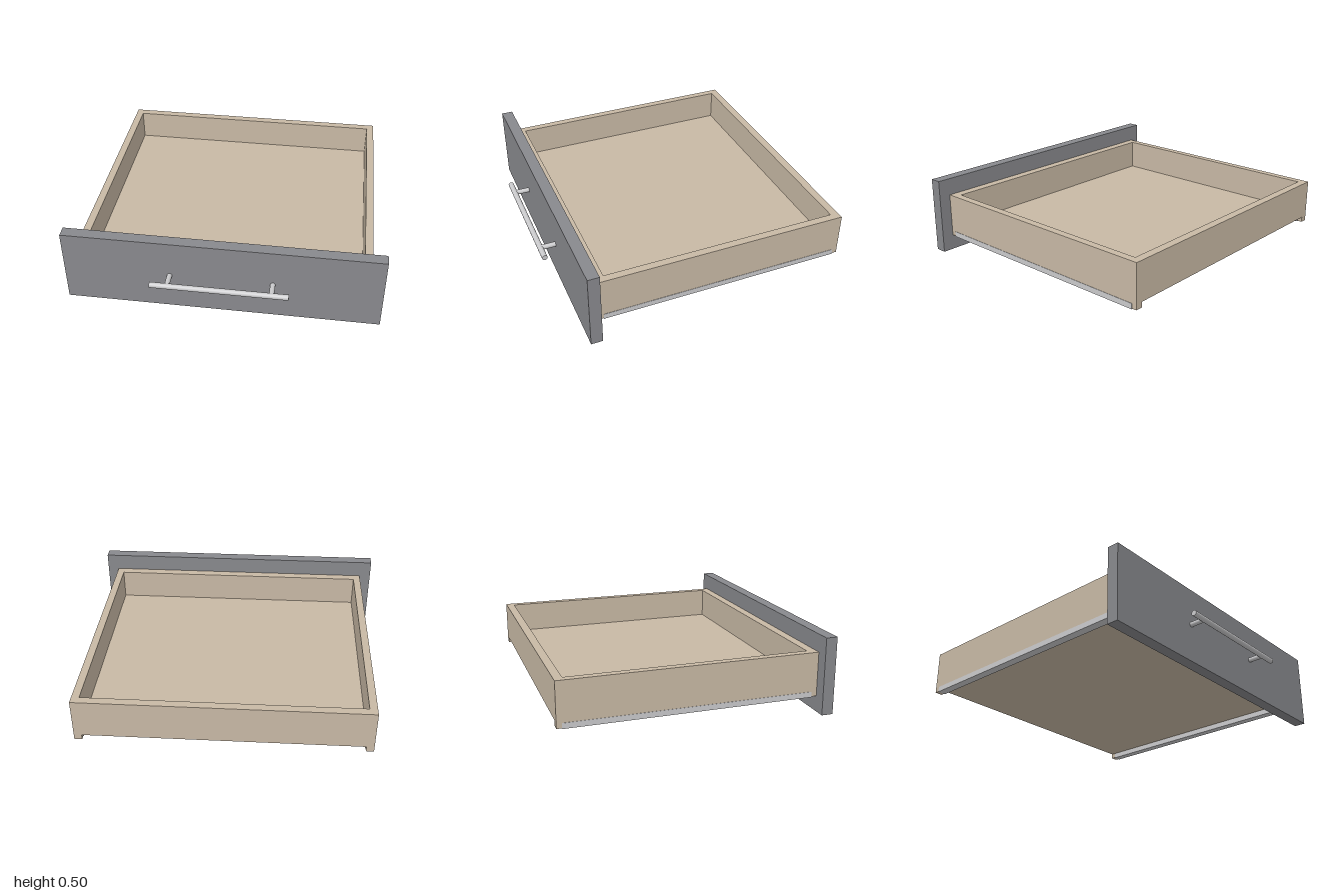
import * as THREE from 'three';

const wood = new THREE.MeshStandardMaterial({ color: 0xc8b9a5 });
wood.name = 'pale wood';
const grey = new THREE.MeshStandardMaterial({ color: 0x88898d });
grey.name = 'grey front';
const metal = new THREE.MeshStandardMaterial({ color: 0xcbcbcd });
metal.name = 'brushed metal';

// Box given by its lower and upper limits on each axis
function box(name, material, [x0, x1], [y0, y1], [z0, z1]) {
  const mesh = new THREE.Mesh(new THREE.BoxGeometry(x1 - x0, y1 - y0, z1 - z0), material);
  mesh.position.set((x0 + x1) / 2, (y0 + y1) / 2, (z0 + z1) / 2);
  mesh.name = name;
  return mesh;
}

// Round rod along x or z
function rod(name, radius, length, axis, x, y, z) {
  const geometry = new THREE.CylinderGeometry(radius, radius, length, 24);
  if (axis === 'x') geometry.rotateZ(Math.PI / 2);
  else geometry.rotateX(Math.PI / 2);
  const mesh = new THREE.Mesh(geometry, metal);
  mesh.position.set(x, y, z);
  mesh.name = name;
  return mesh;
}

export function createModel() {
  const model = new THREE.Group();
  model.name = 'drawer';

  const outer = 0.922, inner = 0.873; // half widths of the tray
  const back = -0.923, front = 0.728;
  const top = 0.39, sideBottom = 0.102, floorBottom = 0.137;

  // Tray: the end walls and floor sit higher than the side walls
  const tray = new THREE.Group();
  tray.name = 'tray';
  tray.add(
    box('backWall', wood, [-inner, inner], [floorBottom, top], [back, back + 0.053]),
    box('innerFrontWall', wood, [-inner, inner], [floorBottom, top], [front - 0.058, front]),
    box('floor', wood, [-inner, inner], [floorBottom, 0.187], [back + 0.053, front - 0.058])
  );
  for (const [side, s] of [['left', 1], ['right', -1]]) {
    const span = (a, b) => [Math.min(s * a, s * b), Math.max(s * a, s * b)];
    tray.add(box(side + 'Wall', wood, span(inner, outer), [sideBottom, top], [back, front]));
    // Runner wrapped round the lower edge of the side wall
    tray.add(box(side + 'Runner', metal, span(inner - 0.003, outer + 0.002), [0.098, 0.134], [-0.89, 0.693]));
  }
  model.add(tray);

  // Front panel
  model.add(box('frontPanel', grey, [-1, 1], [0, 0.502], [0.73, 0.805]));

  // Bar handle on two posts
  const handle = new THREE.Group();
  handle.name = 'handle';
  handle.add(rod('handleBar', 0.018, 0.86, 'x', 0, 0.252, 0.904));
  for (const x of [-0.323, 0.323]) handle.add(rod('handlePost', 0.016, 0.1, 'z', x, 0.252, 0.853));
  model.add(handle);

  return model;
}
